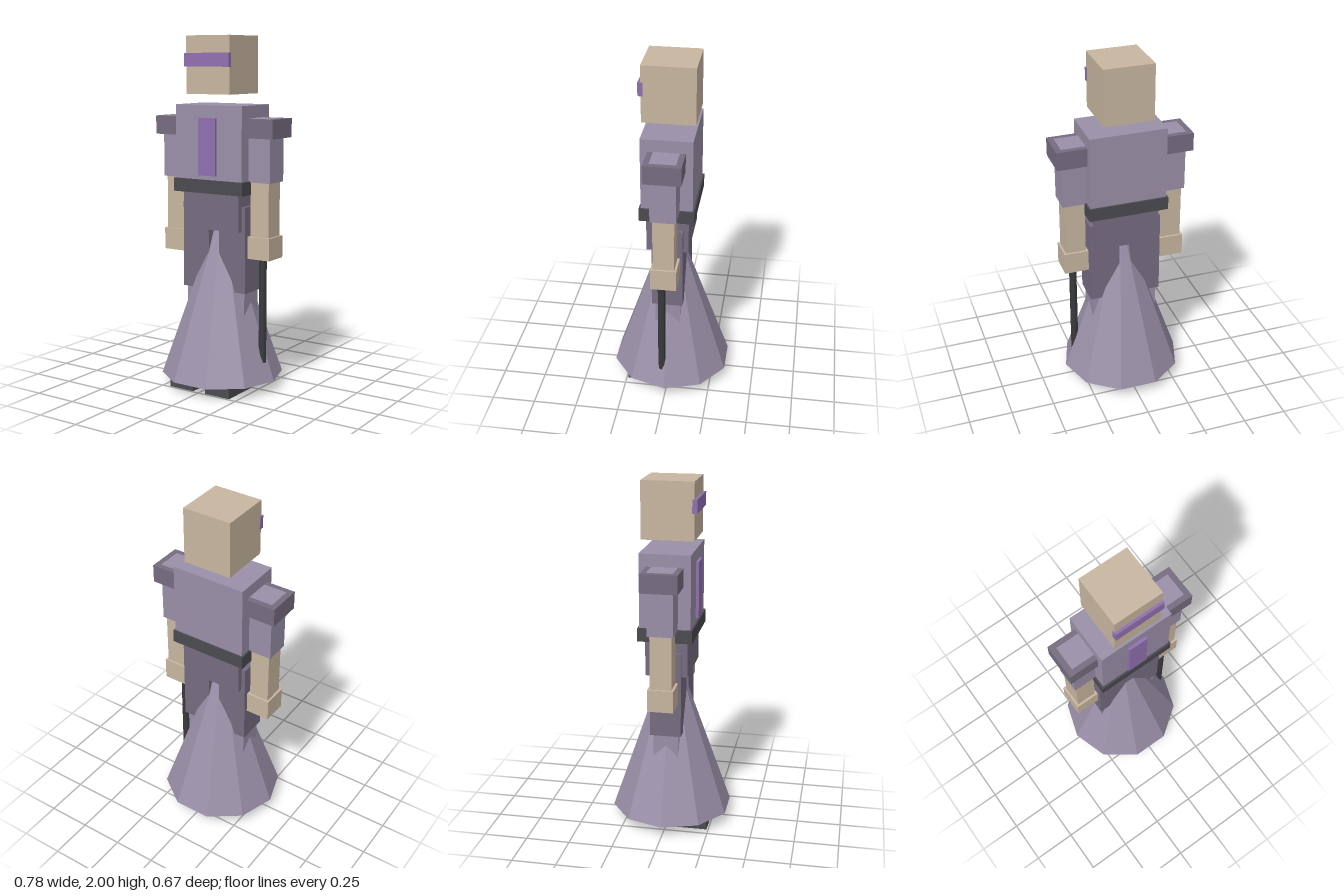
import * as THREE from 'three';

export function createModel() {
  const model = new THREE.Group();
  model.name = 'robedFigure';

  const material = (name, color) => {
    const m = new THREE.MeshStandardMaterial({ color, flatShading: true });
    m.name = name;
    return m;
  };
  const skin = material('skin', 0xc8b6a0);
  const lilac = material('lilacCloth', 0x9a8fa8);
  const dusk = material('duskCloth', 0x766c80);
  const leather = material('darkLeather', 0x4a4a50);
  const wood = material('darkWood', 0x3a3a3e);
  const violet = material('violetTrim', 0x9070b0);

  const add = (name, geometry, mat, x, y, z) => {
    const mesh = new THREE.Mesh(geometry, mat);
    mesh.name = name;
    mesh.position.set(x, y, z);
    model.add(mesh);
    return mesh;
  };
  // Box given by centre x, width, bottom, top, back and front
  const box = (name, mat, x, w, y0, y1, z0, z1) =>
    add(name, new THREE.BoxGeometry(w, y1 - y0, z1 - z0), mat, x, (y0 + y1) / 2, (z0 + z1) / 2);

  // Head and visor
  box('head', skin, 0, 0.286, 1.68, 2.0, -0.147, 0.147);
  box('visor', violet, 0, 0.292, 1.83, 1.905, 0.135, 0.163);

  // Body
  box('torso', lilac, 0, 0.44, 1.2, 1.62, -0.143, 0.143);
  box('chestPanel', violet, 0, 0.114, 1.23, 1.55, 0.135, 0.16);
  box('belt', leather, 0, 0.46, 1.13, 1.205, -0.153, 0.153);
  box('hips', dusk, 0, 0.37, 0.92, 1.14, -0.118, 0.12);

  // Arms and legs, mirrored
  for (const [side, s] of [['left', 1], ['right', -1]]) {
    const armX = s * 0.285;
    box(side + 'ShoulderPad', dusk, armX, 0.21, 1.445, 1.55, -0.103, 0.103);
    box(side + 'UpperArm', lilac, armX, 0.144, 1.2, 1.551, -0.072, 0.072);
    box(side + 'Forearm', skin, armX, 0.116, 0.87, 1.2, -0.06, 0.06);
    box(side + 'Hand', skin, armX, 0.14, 0.77, 0.895, -0.073, 0.073);

    const legX = s * 0.122;
    box(side + 'Thigh', dusk, legX, 0.174, 0.57, 1.06, -0.088, 0.088);
    box(side + 'Shin', lilac, legX, 0.146, 0.06, 0.6, -0.072, 0.072);
    box(side + 'Foot', leather, legX, 0.162, 0, 0.066, -0.085, 0.24);
  }

  // Ten-sided robe skirt with a flat facet to the front
  const skirt = add('skirt', new THREE.ConeGeometry(0.35, 0.995, 10), lilac, 0, 0.5625, 0);
  skirt.rotation.y = Math.PI / 10;

  // Staff held in the left hand
  add('staff', new THREE.CylinderGeometry(0.022, 0.022, 0.73, 8), wood, 0.285, 0.465, 0.02);

  return model;
}
